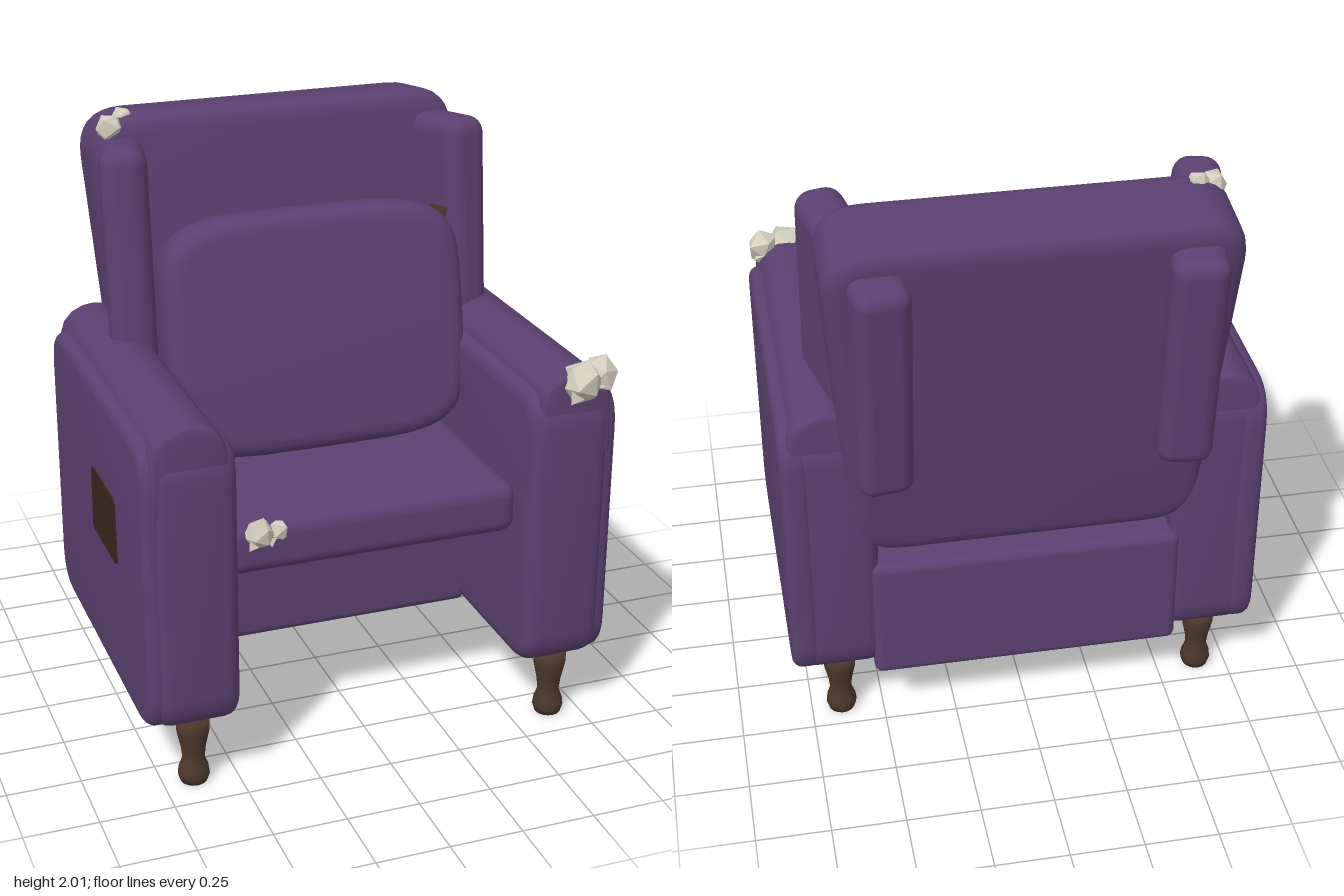
import * as THREE from 'three';
import { toCreasedNormals } from 'three/addons/utils/BufferGeometryUtils.js';
import { RoundedBoxGeometry } from 'three/addons/geometries/RoundedBoxGeometry.js';

const mat = (name, color) => {
  const m = new THREE.MeshStandardMaterial({ color });
  m.name = name;
  return m;
};

// Trapezoid outline with rounded corners, centred on the origin
function roundedOutline(wBottom, wTop, h, r) {
  const c = [[-wBottom / 2, -h / 2], [wBottom / 2, -h / 2], [wTop / 2, h / 2], [-wTop / 2, h / 2]]
    .map(([x, y]) => new THREE.Vector2(x, y));
  const s = new THREE.Shape();
  c.forEach((p, i) => {
    const toward = q => q.clone().sub(p).setLength(r).add(p);
    const a = toward(c[(i + 3) % 4]), b = toward(c[(i + 1) % 4]);
    if (i === 0) s.moveTo(a.x, a.y); else s.lineTo(a.x, a.y);
    s.quadraticCurveTo(p.x, p.y, b.x, b.y);
  });
  s.closePath();
  return s;
}

// Plump outline with bulging sides
function plumpOutline(hx, hy, n) {
  const pts = [];
  for (let i = 0; i < 48; i++) {
    const t = (i / 48) * Math.PI * 2, c = Math.cos(t), s = Math.sin(t);
    pts.push(new THREE.Vector2(
      hx * Math.sign(c) * Math.abs(c) ** (2 / n),
      hy * Math.sign(s) * Math.abs(s) ** (2 / n)));
  }
  return new THREE.Shape(pts);
}

// Padded slab: an outline extruded along z with a soft edge, centred in depth
function padded(shape, depth, bevel) {
  const g = new THREE.ExtrudeGeometry(shape, {
    depth: depth - 2 * bevel, bevelThickness: bevel, bevelSize: bevel,
    bevelOffset: -bevel, bevelSegments: 4, curveSegments: 8,
  });
  g.translate(0, 0, bevel - depth / 2);
  return toCreasedNormals(g, 0.7);
}

export function createModel() {
  const model = new THREE.Group();
  model.name = 'armchair';
  const fabric = mat('purple fabric', 0x5b4070);
  const wood = mat('brown wood', 0x4d372c);
  const patchCloth = mat('dark brown patch', 0x35281c);
  const wool = mat('off white stuffing', 0xd2ccbc);
  wool.flatShading = true;

  const add = (name, geo, material, pos, rot = [0, 0, 0]) => {
    const m = new THREE.Mesh(geo, material);
    m.name = name;
    m.position.set(...pos);
    m.rotation.set(...rot);
    model.add(m);
    return m;
  };

  // Seat and back
  add('base', new RoundedBoxGeometry(1.06, 0.46, 0.67, 3, 0.03), fabric, [0, 0.45, -0.185]);
  add('seatCushion', new RoundedBoxGeometry(1.02, 0.18, 0.97, 4, 0.05), fabric, [0, 0.79, 0.105]);
  const backGeo = padded(roundedOutline(1.16, 1.33, 1.25, 0.17), 0.31, 0.06);
  backGeo.translate(0, 0.625, 0);
  add('backrest', backGeo, fabric, [0, 0.74, -0.35], [-0.133, 0, 0]);
  add('backPillow', padded(plumpOutline(0.535, 0.415, 4.8), 0.2, 0.06), fabric, [0, 1.29, -0.02], [-0.19, 0, 0]);

  // Shared shapes for the mirrored parts
  const armGeo = padded(roundedOutline(1.22, 1.22, 1.0, 0.13), 0.28, 0.05).rotateY(Math.PI / 2);
  const panelGeo = padded(roundedOutline(1.21, 1.21, 1.01, 0.15), 0.1, 0.035).rotateY(Math.PI / 2);
  const rollShape = new THREE.Shape();
  rollShape.moveTo(-0.13, -0.2);
  rollShape.lineTo(0.13, -0.2);
  rollShape.lineTo(0.125, 0);
  rollShape.bezierCurveTo(0.11, 0.135, -0.11, 0.135, -0.125, 0);
  rollShape.closePath();
  const rollGeo = padded(rollShape, 1.2, 0.02);
  const wingGeo = new RoundedBoxGeometry(0.16, 0.88, 0.36, 4, 0.06);
  const bolsterGeo = new RoundedBoxGeometry(0.18, 0.79, 0.2, 4, 0.05);
  const legGeo = new THREE.LatheGeometry([
    [0, 0], [0.045, 0], [0.053, 0.025], [0.05, 0.05], [0.037, 0.085],
    [0.042, 0.13], [0.055, 0.19], [0.057, 0.235], [0, 0.235],
  ].map(([x, y]) => new THREE.Vector2(x, y)), 16);

  for (const [side, s] of [['left', 1], ['right', -1]]) {
    add(side + 'Arm', armGeo, fabric, [s * 0.64, 0.73, 0.1]);
    add(side + 'ArmPanel', panelGeo, fabric, [s * 0.76, 0.73, 0.09]);
    add(side + 'ArmRoll', rollGeo, fabric, [s * 0.655, 1.2, 0.1]);
    add(side + 'Wing', wingGeo, fabric, [s * 0.58, 1.485, -0.265], [-0.1, s * 0.22, 0]);
    add(side + 'BackBolster', bolsterGeo, fabric, [s * 0.49, 1.49, -0.628], [-0.1, s * 0.12, 0]);
    add(side + 'FrontLeg', legGeo, wood, [s * 0.645, 0, 0.61]);
    add(side + 'BackLeg', legGeo, wood, [s * 0.645, 0, -0.4]);
  }

  // Mending patch on the outer right arm and a torn scrap on the pillow
  const patchGeo = new THREE.ExtrudeGeometry(roundedOutline(0.31, 0.29, 0.23, 0.02), { depth: 0.008, bevelEnabled: false });
  add('armPatch', patchGeo, patchCloth, [-0.808, 0.81, 0.2], [0, -Math.PI / 2, 0]);
  add('pillowScrap', new THREE.BoxGeometry(0.07, 0.05, 0.008), wood, [0.485, 1.625, -0.1], [-0.19, 0, -0.3]);

  // Tufts of stuffing: jagged lumps with a few loose spikes
  let seed = 7;
  const rand = () => ((seed = (seed * 16807) % 2147483647) / 2147483647);
  const lump = (r) => {
    const g = new THREE.IcosahedronGeometry(r, 0);
    const p = g.attributes.position, scale = {};
    for (let i = 0; i < p.count; i++) {
      const v = new THREE.Vector3().fromBufferAttribute(p, i);
      const key = v.toArray().map(a => Math.round(a * 1000)).join();
      scale[key] ??= 0.8 + 0.4 * rand();
      v.multiplyScalar(scale[key]);
      p.setXYZ(i, v.x, v.y, v.z);
    }
    g.computeVertexNormals();
    return g;
  };
  const tufts = {
    armStuffing: [[0.67, 1.26, 0.69, 0.075], [0.745, 1.275, 0.665, 0.06]],
    seatStuffing: [[-0.4, 0.84, 0.575, 0.055], [-0.335, 0.835, 0.56, 0.045]],
    backStuffing: [[-0.595, 1.95, -0.395, 0.052], [-0.54, 1.97, -0.42, 0.04]],
  };
  for (const [name, lumps] of Object.entries(tufts)) {
    for (const [x, y, z, r] of lumps) {
      add(name, lump(r), wool, [x, y, z], [rand() * 3, rand() * 3, 0]);
      for (let i = 0; i < 3; i++) {
        const a = rand() * Math.PI * 2;
        add(name + 'Spike', new THREE.TetrahedronGeometry(r * 0.4), wool,
          [x + Math.cos(a) * r * 0.75, y - r * 0.4, z + Math.sin(a) * r * 0.75], [a, a * 2, 0]);
      }
    }
  }
  return model;
}
